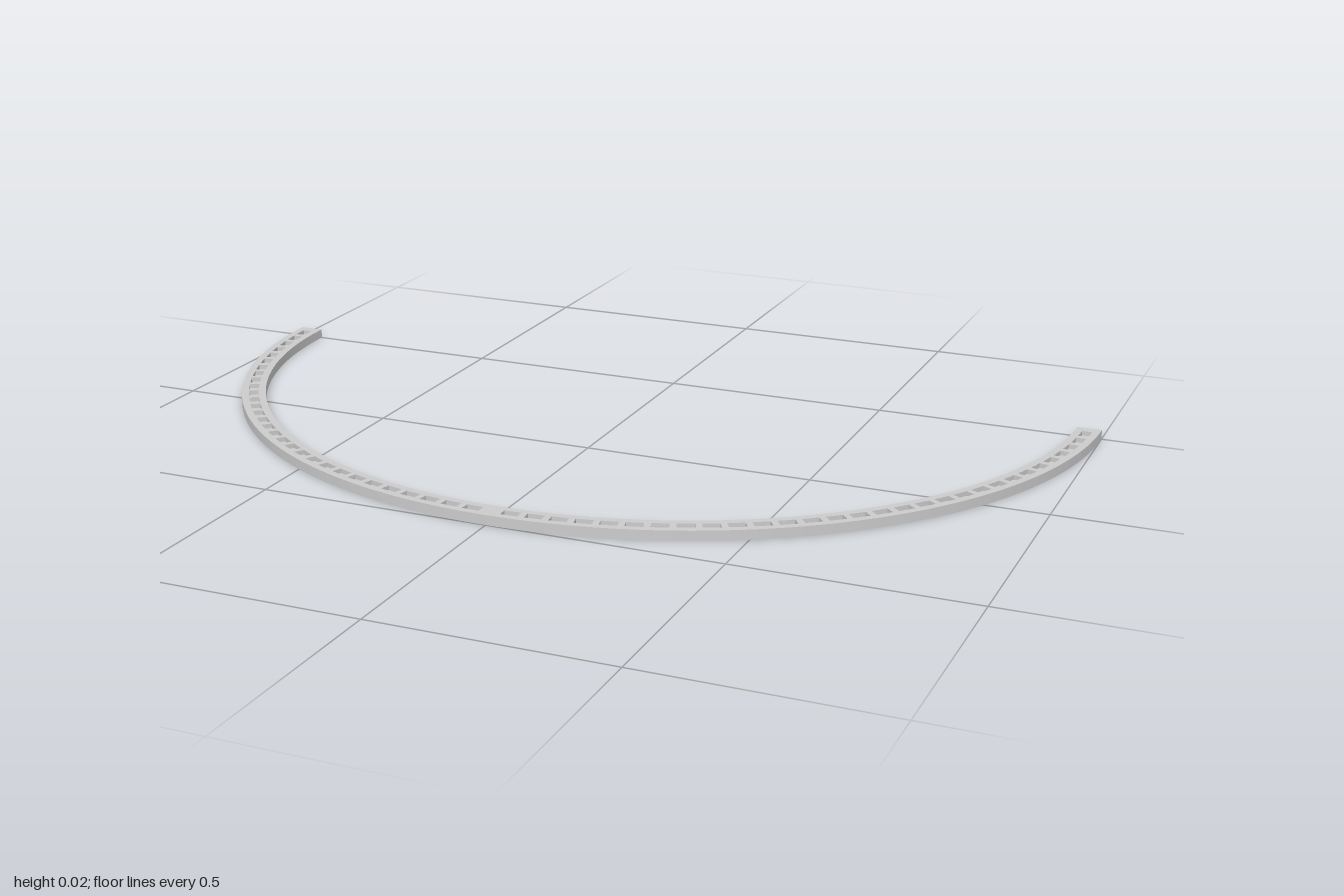
import * as THREE from 'three';
import { mergeGeometries } from 'three/addons/utils/BufferGeometryUtils.js';

const R_OUT = 1, R_IN = 0.946, HEIGHT = 0.021, FLOOR = 0.011;
const SLOT_IN = 0.962, SLOT_OUT = 0.984;
const PER_QUARTER = 30, MARGIN = 0.024, GAP = 0.014;

// Points of a ring sector between two angles
function sector(rIn, rOut, a0, a1, steps) {
  const pts = [];
  for (let i = 0; i <= steps; i++) {
    const a = a0 + (a1 - a0) * i / steps;
    pts.push(new THREE.Vector2(rOut * Math.cos(a), rOut * Math.sin(a)));
  }
  for (let i = steps; i >= 0; i--) {
    const a = a0 + (a1 - a0) * i / steps;
    pts.push(new THREE.Vector2(rIn * Math.cos(a), rIn * Math.sin(a)));
  }
  return pts;
}

// Start and end angles of the slots; each quarter has a plain margin at both ends
function slotAngles() {
  const span = Math.PI / 2 - 2 * MARGIN;
  const length = (span - (PER_QUARTER - 1) * GAP) / PER_QUARTER;
  const list = [];
  for (let q = 0; q < 2; q++) {
    for (let i = 0; i < PER_QUARTER; i++) {
      const a = q * Math.PI / 2 + MARGIN + i * (length + GAP);
      list.push([a, a + length]);
    }
  }
  return list;
}

export function createModel() {
  const group = new THREE.Group();
  const material = new THREE.MeshStandardMaterial({ color: 0xcccccc, flatShading: true });
  const slots = slotAngles();
  const add = (geometry, name) => {
    const mesh = new THREE.Mesh(geometry, material);
    mesh.name = name;
    mesh.position.z = -0.5;
    group.add(mesh);
  };

  // Half ring with its top slots; depth 0 becomes the top face
  const outline = sector(R_IN, R_OUT, 0, Math.PI, 100);
  const shape = new THREE.Shape(outline);
  for (const [a0, a1] of slots) shape.holes.push(new THREE.Path(sector(SLOT_IN, SLOT_OUT, a0, a1, 2)));
  const body = new THREE.ExtrudeGeometry(shape, { depth: HEIGHT, bevelEnabled: false });

  // Drop the slotted lower cap and end the slot walls at the slot floor
  const capCount = body.groups[0].count;
  const pos = body.attributes.position;
  const kept = [];
  for (let i = 0; i < pos.count; i++) {
    if (i >= capCount / 2 && i < capCount) continue;
    const x = pos.getX(i), y = pos.getY(i), r = Math.hypot(x, y);
    const inSlot = r > R_IN + 0.005 && r < R_OUT - 0.005;
    kept.push(x, y, inSlot ? Math.min(pos.getZ(i), HEIGHT - FLOOR) : pos.getZ(i));
  }
  const arc = new THREE.BufferGeometry();
  arc.setAttribute('position', new THREE.Float32BufferAttribute(kept, 3));
  arc.computeVertexNormals();
  arc.rotateX(Math.PI / 2).translate(0, HEIGHT, 0);
  add(arc, 'slottedArc');

  // Plain underside
  add(new THREE.ShapeGeometry(new THREE.Shape(outline)).rotateX(Math.PI / 2), 'underside');

  // Slot floors
  const floors = slots.map(([a0, a1]) =>
    new THREE.RingGeometry(SLOT_IN, SLOT_OUT, 2, 1, -a1, a1 - a0)
      .rotateX(-Math.PI / 2).translate(0, FLOOR, 0));
  add(mergeGeometries(floors), 'slotFloors');

  return group;
}
